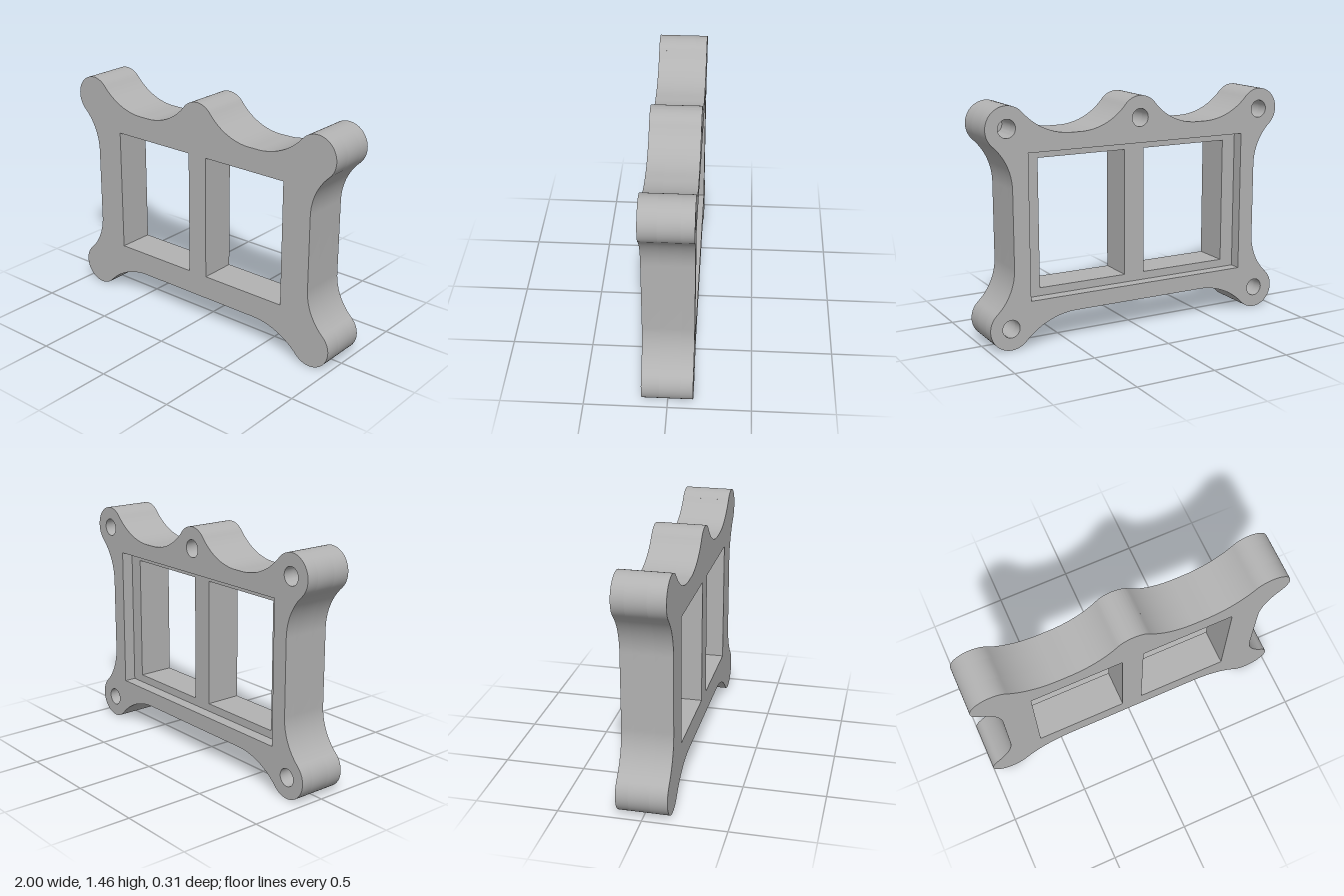
import * as THREE from 'three';
import { toCreasedNormals } from 'three/addons/utils/BufferGeometryUtils.js';

const HALF_DEPTH = 0.153;

// Right half of the outline: round lobes joined by tangent concave fillets
function outlinePoints() {
  const bottomLobe = [0.868, 0.132, 0.132];
  const topLobe = [0.868, 1.32, 0.132];
  const middleLobe = [0, 1.326, 0.132];
  const bottomFillet = [0.44, -0.277, 0.46];
  const lowerSide = [1.193, 0.492, 0.353];
  const upperSide = [1.193, 0.96, 0.353];
  const outerValley = [0.46, 1.6865, 0.4165];
  const innerValley = [0.4, 1.6575, 0.3875];

  const toward = (a, b) => Math.atan2(b[1] - a[1], b[0] - a[0]);
  const path = new THREE.Path().moveTo(0, 0.183);
  const fillet = (c, from, to) => path.absarc(c[0], c[1], c[2], from, to, true);
  const lobe = (c, from, to) => path.absarc(c[0], c[1], c[2], from, to, false);

  fillet(bottomFillet, Math.PI / 2, toward(bottomFillet, bottomLobe));
  lobe(bottomLobe, toward(bottomLobe, bottomFillet), toward(bottomLobe, lowerSide));
  fillet(lowerSide, toward(lowerSide, bottomLobe), Math.PI);
  fillet(upperSide, Math.PI, toward(upperSide, topLobe));
  lobe(topLobe, toward(topLobe, upperSide), toward(topLobe, outerValley));
  fillet(outerValley, toward(outerValley, topLobe), -Math.PI / 2);
  fillet(innerValley, -Math.PI / 2, toward(innerValley, middleLobe));
  lobe(middleLobe, toward(middleLobe, innerValley), Math.PI / 2);

  // Mirror to the other side
  const right = path.getPoints(14);
  const left = right.slice(1, -1).reverse().map((p) => new THREE.Vector2(-p.x, p.y));
  return [...right, ...left];
}

function rectHole(x0, x1, y0, y1) {
  return new THREE.Path([[x0, y0], [x0, y1], [x1, y1], [x1, y0]].map(([x, y]) => new THREE.Vector2(x, y))).closePath();
}

function roundHole(x, y) {
  return new THREE.Path().absarc(x, y, 0.055, 0, Math.PI * 2, true);
}

export function createModel() {
  const group = new THREE.Group();
  group.name = 'doubleWindowFrame';
  const grey = new THREE.MeshStandardMaterial({ color: 0xb2b2b2 });
  grey.name = 'grey';

  const outline = outlinePoints();
  const windows = [rectHole(-0.647, -0.067, 0.333, 1.123), rectHole(0.067, 0.647, 0.333, 1.123)];
  const recess = [rectHole(-0.738, 0.738, 0.283, 1.17)];
  const screwHoles = [[-0.868, 0.132], [0.868, 0.132], [-0.868, 1.32], [0.868, 1.32], [0, 1.324]]
    .map(([x, y]) => roundHole(x, y));

  // Layers from front to back: closed face, blind screw holes, recessed rim
  const layers = [
    ['frontPlate', 0.047, HALF_DEPTH, windows],
    ['middlePlate', -0.078, 0.047, [...windows, ...screwHoles]],
    ['backRim', -HALF_DEPTH, -0.078, [...recess, ...screwHoles]],
  ];
  for (const [name, z0, z1, holes] of layers) {
    const shape = new THREE.Shape(outline);
    shape.holes.push(...holes);
    const extruded = new THREE.ExtrudeGeometry(shape, { depth: z1 - z0, bevelEnabled: false, curveSegments: 16 });
    const mesh = new THREE.Mesh(toCreasedNormals(extruded, 0.6), grey);
    mesh.name = name;
    mesh.position.z = z0;
    group.add(mesh);
  }
  return group;
}
